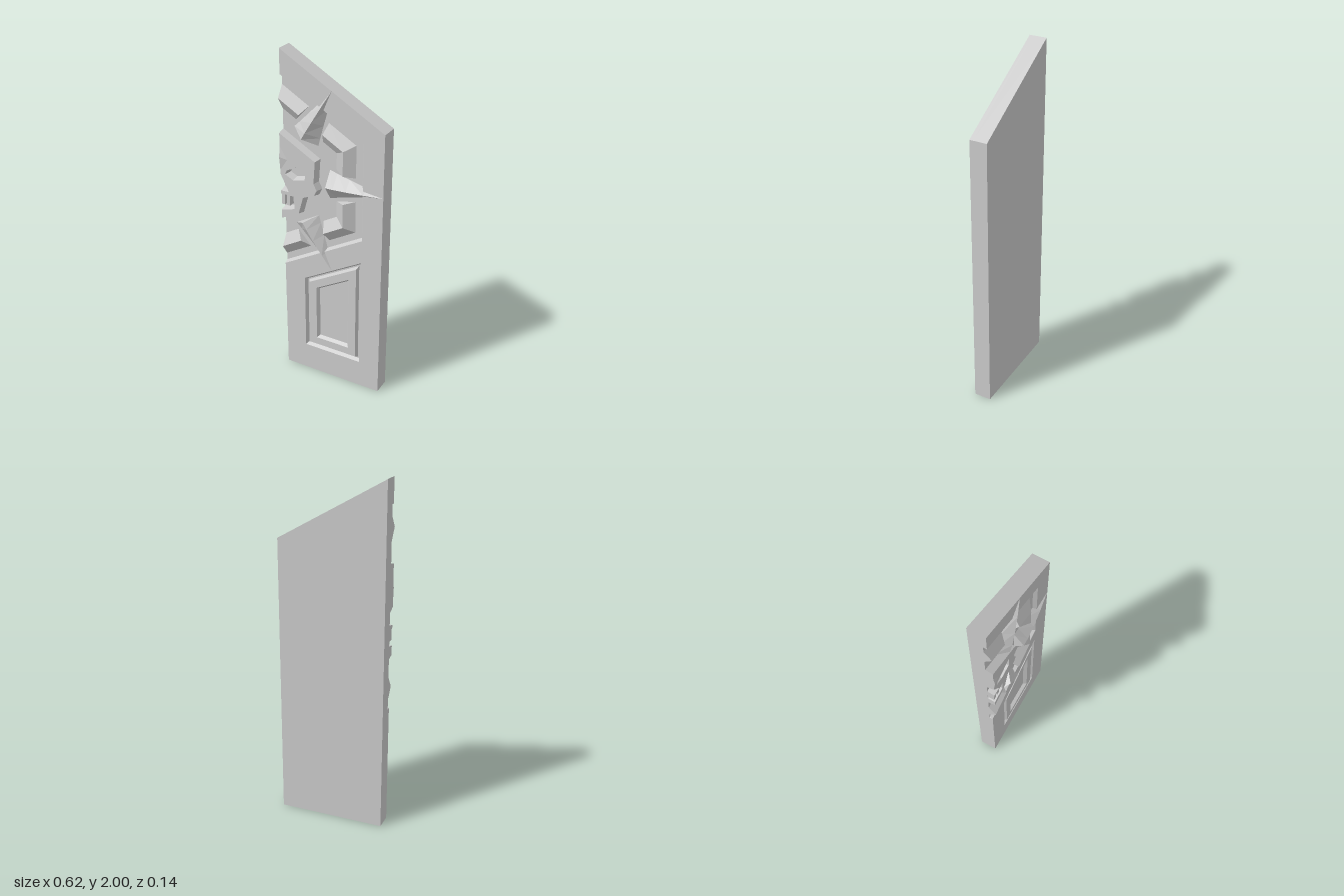
import * as THREE from 'three';

const LEFT = -0.31, FLOOR = 0.01, FACE = 0.03, RAISED = 0.053;
const CENTRE_Y = 1.285;
const material = new THREE.MeshStandardMaterial({ color: 0xcccccc, flatShading: true });

function addMesh(parent, name, geometry) {
  const mesh = new THREE.Mesh(geometry, material);
  mesh.name = name;
  parent.add(mesh);
  return mesh;
}

// Flat plate between two depths, with optional holes
function plate(points, z0, z1, holes = []) {
  const toVectors = (list) => list.map(([x, y]) => new THREE.Vector2(x, y));
  const shape = new THREE.Shape(toVectors(points));
  holes.forEach((h) => shape.holes.push(new THREE.Path(toVectors(h))));
  return new THREE.ExtrudeGeometry(shape, { depth: z1 - z0, bevelEnabled: false }).translate(0, 0, z0);
}

const onSeam = (a, b) => a[0] === LEFT && b[0] === LEFT;

// Moves each edge of a counter-clockwise polygon inwards; edges on the seam stay put
function inset(points, d) {
  const n = points.length;
  const lines = points.map((a, i) => {
    const b = points[(i + 1) % n];
    const len = Math.hypot(b[0] - a[0], b[1] - a[1]);
    const nx = -(b[1] - a[1]) / len, ny = (b[0] - a[0]) / len;
    return [nx, ny, nx * a[0] + ny * a[1] + (onSeam(a, b) ? 0 : d)];
  });
  return points.map((p, i) => {
    const [a, b, c] = lines[(i + n - 1) % n], [e, f, g] = lines[i];
    const det = a * f - b * e;
    const x = (c * f - b * g) / det, y = (a * g - c * e) / det;
    return [p[0] === LEFT ? LEFT : x, y];
  });
}

function fromTriangles(list) {
  const geometry = new THREE.BufferGeometry();
  geometry.setAttribute('position', new THREE.Float32BufferAttribute(list.flat(), 3));
  geometry.computeVertexNormals();
  return geometry;
}

// Sloping walls from an outer polygon to an inner one
function slope(outer, z0, inner, z1, skipSeam = false) {
  const tris = [];
  outer.forEach((p, i) => {
    const j = (i + 1) % outer.length;
    if (skipSeam && onSeam(p, outer[j])) return;
    const a = [...p, z0], b = [...outer[j], z0], c = [...inner[j], z1], d = [...inner[i], z1];
    tris.push(a, b, c, a, c, d);
  });
  return fromTriangles(tris);
}

// Solid through a row of triangular sections
function loft(sections) {
  const tris = [];
  for (let k = 0; k + 1 < sections.length; k++) {
    const a = sections[k], b = sections[k + 1];
    for (let i = 0; i < 3; i++) {
      const j = (i + 1) % 3;
      tris.push(a[i], a[j], b[j], a[i], b[j], b[i]);
    }
  }
  const first = sections[0], last = sections[sections.length - 1];
  tris.push(first[2], first[1], first[0], ...last);
  return fromTriangles(tris);
}

function createSlab(group) {
  const outline = [[LEFT, 0], [0.31, 0], [0.31, 1.645], [LEFT, 2]];
  addMesh(group, 'doorSlab', plate(outline, -0.07, FLOOR));

  // Front skin, cut out for the upper recess and the lower panel
  const recess = [[LEFT, 0.71], [0.19, 0.997], [0.19, 1.573], [LEFT, 1.86]];
  const panel = [[-0.18, 0.17], [0.185, 0.17], [0.185, 0.855], [-0.18, 0.645]];
  addMesh(group, 'doorFace', plate([...outline, ...[...recess].reverse()], FLOOR, FACE, [panel]));
  addMesh(group, 'upperRecessWalls', slope(recess, FACE, inset(recess, 0.013), FLOOR, true));

  // Lower panel: a groove around a raised field with a sunken middle
  addMesh(group, 'panelGrooveWalls', slope(panel, FACE, inset(panel, 0.012), FLOOR));
  const field = inset(panel, 0.03), sunken = inset(panel, 0.077);
  addMesh(group, 'panelField', plate(field, FLOOR, FACE, [sunken]));
  addMesh(group, 'panelFieldEdge', slope(inset(panel, 0.02), FLOOR, field, FACE));
  addMesh(group, 'panelSunkenWalls', slope(sunken, FACE, inset(panel, 0.09), FLOOR));
}

function createStar(group) {
  // Spike sections: distance from centre, half width, edge depth, ridge depth
  const spike = [
    [0.29, 0.085, FLOOR, 0.068], [0.335, 0.072, FLOOR, 0.068], [0.41, 0.053, FLOOR, 0.061],
    [0.51, 0.028, FLOOR, 0.048], [0.62, 0, FACE, FACE],
  ].map(([r, w, z0, z1]) => [[r, -w, z0], [r, w, z0], [r, 0, z1]]);

  // Ring bar profile: distance from centre, depth, sideways start beside the spike
  const profile = [[0.33, FLOOR, 0.095], [0.39, RAISED, 0.083], [0.447, FLOOR, 0.07]];
  const mitre = Math.tan(Math.PI / 6);

  for (const turn of [-1, 0, 1]) {
    const arm = new THREE.Group();
    arm.name = 'starArm';
    arm.position.set(LEFT, CENTRE_Y, 0);
    arm.rotation.z = turn * Math.PI / 3;
    addMesh(arm, 'spike', loft(spike));
    for (const side of [1, -1]) {
      const sections = [
        profile.map(([r, z, v]) => [r, side * v, z]),
        profile.map(([r, z]) => [r, side * r * mitre, z]),
      ];
      if (side < 0) sections.reverse();
      addMesh(arm, 'ringBar', loft(sections));
    }
    group.add(arm);
  }
}

function createSkull(group) {
  // Half skull with nose and mouth notches along the seam
  const base = [
    [LEFT, 1.01], [-0.19, 1.07], [-0.16, 1.175], [-0.09, 1.205], [-0.07, 1.245],
    [-0.09, 1.285], [-0.08, 1.42], [LEFT, 1.55],
    [LEFT, 1.275], [-0.275, 1.205], [LEFT, 1.205],
    [LEFT, 1.165], [-0.235, 1.165], [-0.235, 1.105], [LEFT, 1.085],
  ];
  const top = inset(base, 0.01);
  const eye = [[-0.23, 1.275], [-0.155, 1.293], [-0.15, 1.387], [-0.27, 1.325], [-0.28, 1.3]];
  addMesh(group, 'skullPlate', plate(top, FLOOR, RAISED, [eye]));
  addMesh(group, 'skullEdge', slope(base, FLOOR, top, RAISED));
  addMesh(group, 'eyeSocketWalls', slope(eye, RAISED, inset(eye, 0.009), FLOOR));

  // Teeth hanging in the mouth
  for (const x of [-0.299, -0.266]) {
    const tooth = addMesh(group, 'tooth', new THREE.BoxGeometry(0.02, 0.065, 0.038));
    tooth.position.set(x, 1.142, FLOOR + 0.019);
  }

  // Raised facet on the brow
  const facet = [[LEFT, 1.32], [-0.265, 1.39], [LEFT, 1.46]];
  addMesh(group, 'browFacet', slope(facet, RAISED, facet.map(() => [LEFT, 1.4]), 0.062));
}

export function createModel() {
  const group = new THREE.Group();
  group.name = 'ornateDoorLeaf';
  createSlab(group);
  createStar(group);
  createSkull(group);
  return group;
}
